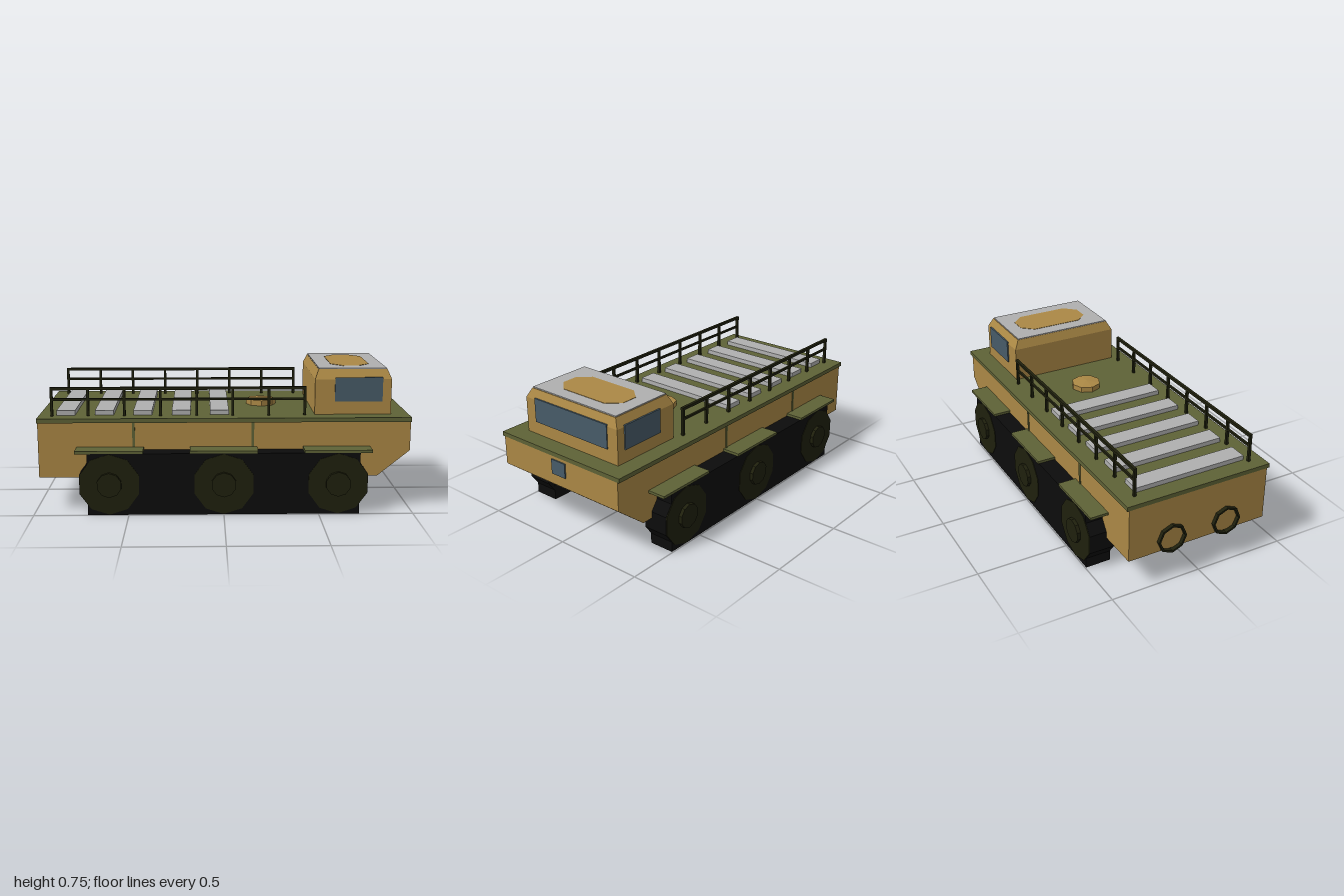
import * as THREE from 'three';

const mat = (name, color, side = THREE.FrontSide) => {
  const m = new THREE.MeshStandardMaterial({ color, side });
  m.name = name;
  return m;
};

export function createModel() {
  const tan = mat('tan paint', 0xab8845);
  const olive = mat('olive paint', 0x5e6236);
  const grey = mat('light grey', 0xb0b0b0);
  const glass = mat('blue glass', 0x475b68);
  const dark = mat('dark metal', 0x1f200d);
  const black = mat('black rubber', 0x0c0c0c);

  const model = new THREE.Group();
  model.name = 'trackedCarrier';

  const add = (name, geo, material) => {
    const mesh = new THREE.Mesh(geo, material);
    mesh.name = name;
    model.add(mesh);
    return mesh;
  };
  // box given by its limits on each axis
  const box = (name, material, [x0, x1], [y0, y1], [z0, z1]) => {
    const geo = new THREE.BoxGeometry(x1 - x0, y1 - y0, z1 - z0);
    geo.translate((x0 + x1) / 2, (y0 + y1) / 2, (z0 + z1) / 2);
    return add(name, geo, material);
  };
  // sharp facets
  const facet = (geo) => {
    const g = geo.toNonIndexed();
    g.computeVertexNormals();
    return g;
  };
  const lathe = (points, sides) =>
    facet(new THREE.LatheGeometry(points.map(([r, y]) => new THREE.Vector2(r, y)), sides));
  const outline = (points) => new THREE.Shape(points.map(([x, y]) => new THREE.Vector2(x, y)));

  // hull with a sloping bow, and the deck slab
  const hull = new THREE.ExtrudeGeometry(
    outline([[-0.98, 0.18], [0.82, 0.18], [0.993, 0.32], [0.993, 0.48], [-0.98, 0.48]]),
    { depth: 0.8, bevelEnabled: false });
  hull.translate(0, 0, -0.4);
  add('hull', hull, tan);
  box('deck', olive, [-0.983, 0.995], [0.477, 0.5], [-0.412, 0.412]);
  box('bowPanel', glass, [0.99, 1.0], [0.38, 0.46], [-0.047, 0.047]);

  // cabin: the top ring of vertices is drawn in to bevel the roof edge
  const cabin = new THREE.BoxGeometry(0.41, 0.24, 0.636, 1, 2, 1);
  const p = cabin.attributes.position;
  for (let i = 0; i < p.count; i++) {
    const level = Math.round(p.getY(i) / 0.12);
    p.setY(i, [0.5, 0.69, 0.74][level + 1]);
    if (level === 1) p.setXYZ(i, p.getX(i) * 0.9, 0.74, p.getZ(i) * 0.915);
    p.setX(i, p.getX(i) + 0.695);
  }
  add('cabin', facet(cabin), tan);
  box('roofPanel', grey, [0.512, 0.876], [0.736, 0.746], [-0.288, 0.288]);
  const patch = new THREE.ExtrudeGeometry(
    outline([[0.65, -0.21], [0.74, -0.21], [0.802, -0.145], [0.802, 0.145],
      [0.74, 0.21], [0.65, 0.21], [0.592, 0.145], [0.592, -0.145]]),
    { depth: 0.003, bevelEnabled: false });
  patch.rotateX(-Math.PI / 2).translate(0, 0.745, 0);
  add('roofPatch', patch, tan);
  box('windscreen', glass, [0.897, 0.905], [0.57, 0.7], [-0.252, 0.252]);

  // cargo deck slats and hatch
  for (let i = 0; i < 5; i++) {
    const x = -0.89 + i * 0.205;
    box('deckSlat', grey, [x, x + 0.1], [0.495, 0.525], [-0.316, 0.316]);
  }
  add('hatch', lathe([[0.083, 0], [0.083, 0.032], [0, 0.042]], 8), tan).position.set(0.22, 0.498, 0);

  for (const s of [1, -1]) {
    const span = (a, b) => (s > 0 ? [a, b] : [-b, -a]);

    box('sideWindow', glass, [0.597, 0.852], [0.57, 0.7], span(0.316, 0.325));

    // railing
    box('topRail', dark, [-0.918, 0.442], [0.64, 0.655], span(0.325, 0.341));
    box('middleRail', dark, [-0.918, 0.442], [0.583, 0.595], span(0.327, 0.339));
    for (let i = 0; i < 8; i++) {
      const x = -0.911 + i * 0.1923;
      box('railPost', dark, [x - 0.007, x + 0.007], [0.5, 0.65], span(0.326, 0.34));
    }

    // hull side ribs
    for (const x of [-0.475, 0.155])
      box('sideRib', olive, [x - 0.007, x + 0.007], [0.34, 0.478], span(0.396, 0.404));

    // running gear: track block, three wheels with hubs, and fenders
    box('track', black, [-0.715, 0.715], [0, 0.33], span(0.355, 0.494));
    for (const x of [-0.6, 0, 0.6]) {
      const disc = (name, material, r, z0, z1) => {
        const geo = facet(new THREE.CylinderGeometry(r, r, z1 - z0, 10));
        geo.rotateX(Math.PI / 2);
        add(name, geo, material).position.set(x, 0.165, (s * (z0 + z1)) / 2);
      };
      disc('wheel', black, 0.165, 0.356, 0.493);
      disc('wheelFace', dark, 0.163, 0.49, 0.497);
      disc('wheelHub', dark, 0.066, 0.49, 0.516);
      box('fender', olive, [x - 0.178, x + 0.178], [0.331, 0.345], span(0.39, 0.5));
    }

    // ring on the stern
    const ring = lathe([[0.07, 0], [0.081, 0], [0.081, 0.09], [0.07, 0.09], [0.07, 0]], 8);
    ring.rotateZ(Math.PI / 2);
    add('sternRing', ring, dark).position.set(-0.91, 0.243, s * 0.16);
  }
  return model;
}
